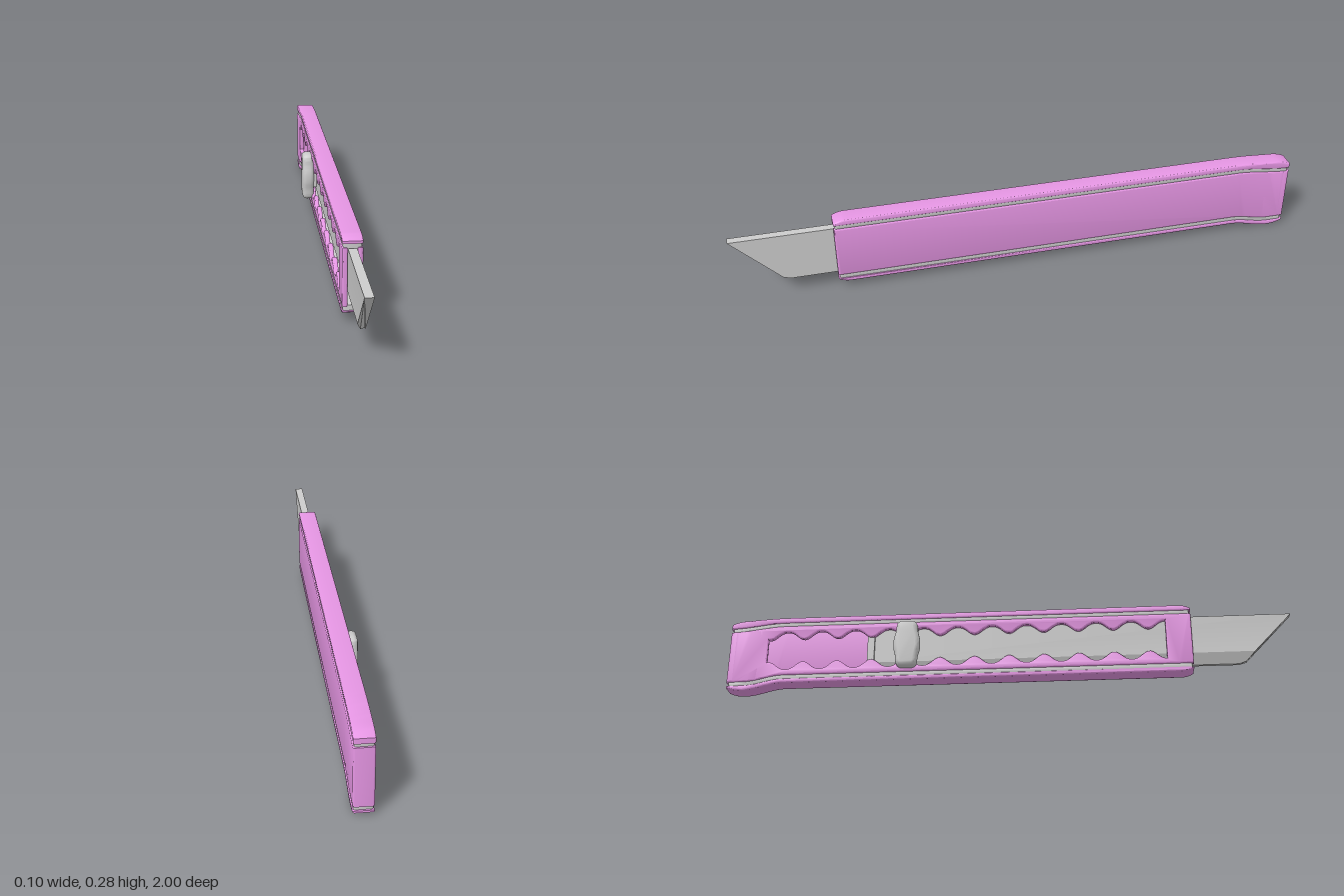
import * as THREE from 'three';
import { toCreasedNormals } from 'three/addons/utils/BufferGeometryUtils.js';

const PINK = 0xe696e4, GREY = 0xcccccc;
const FRONT = 0.65, BACK = -1;

const ramp = (z, from, to) => THREE.MathUtils.smoothstep((z - from) / (to - from), 0, 1);

// Heights along the handle: the rear end droops, the caps round off at both ends
const dropTop = z => -0.018 * ramp(z, -0.8, -1);
const dropLow = z => -0.022 * ramp(z, -0.8, -0.94);
const endRound = z => 0.012 * (Math.max(0, (z - 0.61) / 0.04) ** 2 + Math.max(0, (-0.95 - z) / 0.05) ** 2);
const level = (y, drop) => z => y + drop(z);
const capTop = z => 0.28 + dropTop(z) * 0.5 - endRound(z);
const capLow = z => 0.025 + dropLow(z) * 1.13 + endRound(z);

function addMesh(group, name, geometry, color) {
  const mesh = new THREE.Mesh(geometry, new THREE.MeshStandardMaterial({ color }));
  mesh.name = name;
  group.add(mesh);
  return mesh;
}

// Extrudes a side outline (z, y) across the thickness x0..x1 with rounded edges
function sideExtrude(shape, x0, x1, bevel) {
  const geo = new THREE.ExtrudeGeometry(shape, {
    depth: x1 - x0 - 2 * bevel, bevelEnabled: true, bevelThickness: bevel,
    bevelSize: bevel, bevelOffset: -bevel, bevelSegments: 3, curveSegments: 8,
  });
  geo.rotateY(-Math.PI / 2);
  geo.translate(x1 - bevel, 0, 0);
  return toCreasedNormals(geo, 0.7);
}

// Outline between a lower and an upper curve, finely stepped only near the ends
function bandShape(z0, z1, low, high) {
  const zs = [z0];
  for (let z = BACK + 0.015; z < -0.78; z += 0.015) if (z > z0 + 0.008 && z < z1 - 0.008) zs.push(z);
  for (let z = 0.6; z < FRONT; z += 0.01) if (z > z0 && z < z1 - 0.004) zs.push(z);
  zs.push(z1);
  const points = zs.map(z => new THREE.Vector2(z, low(z)));
  points.push(...zs.slice().reverse().map(z => new THREE.Vector2(z, high(z))));
  return new THREE.Shape(points);
}

// Long slot with a row of rounded detent teeth on both edges
function toothedSlot() {
  const z0 = -0.86, z1 = 0.56, period = 0.123, steps = 150;
  const half = z => 0.073 - 0.03 * (0.5 + 0.5 * Math.cos(2 * Math.PI * (z - 0.5) / period)) ** 1.3;
  const top = [], low = [];
  for (let i = 0; i <= steps; i++) {
    const z = z0 + (z1 - z0) * i / steps;
    top.push(new THREE.Vector2(z, 0.15 + half(z)));
    low.push(new THREE.Vector2(z, 0.15 - half(z)));
  }
  return new THREE.Path([...top, ...low.reverse()]);
}

// Blade: cross-section with one ground edge, its front end slanted to a point
function bladeGeometry() {
  const shape = new THREE.Shape([
    [0.03, 0.24], [0.002, 0.24], [0.002, 0.1], [0.0148, 0.068], [0.018, 0.06], [0.03, 0.06], [0.03, 0.068],
  ].map(p => new THREE.Vector2(...p)));
  const geo = new THREE.ExtrudeGeometry(shape, { depth: 1, bevelEnabled: false });
  const pos = geo.attributes.position;
  for (let i = 0; i < pos.count; i++) {
    const y = pos.getY(i);
    const tip = y < 0.064 ? 0.81 : 1 - (0.24 - y) * 0.96;
    pos.setZ(i, pos.getZ(i) > 0.5 ? tip : -0.49);
  }
  geo.computeVertexNormals();
  return toCreasedNormals(geo, 0.3);
}

// Thumb slider: tall rounded button, wider in the middle
function sliderShape() {
  const s = new THREE.Shape();
  s.moveTo(-0.375, 0.065);
  s.quadraticCurveTo(-0.392, 0.068, -0.393, 0.09);
  s.bezierCurveTo(-0.394, 0.12, -0.402, 0.12, -0.402, 0.152);
  s.bezierCurveTo(-0.402, 0.185, -0.394, 0.185, -0.393, 0.215);
  s.quadraticCurveTo(-0.392, 0.237, -0.375, 0.24);
  s.lineTo(-0.335, 0.24);
  s.quadraticCurveTo(-0.318, 0.237, -0.317, 0.215);
  s.bezierCurveTo(-0.316, 0.185, -0.308, 0.185, -0.308, 0.152);
  s.bezierCurveTo(-0.308, 0.12, -0.316, 0.12, -0.317, 0.09);
  s.quadraticCurveTo(-0.318, 0.068, -0.335, 0.065);
  s.closePath();
  return s;
}

function box(x0, x1, y0, y1, z0, z1) {
  const geo = new THREE.BoxGeometry(x1 - x0, y1 - y0, z1 - z0);
  return geo.translate((x0 + x1) / 2, (y0 + y1) / 2, (z0 + z1) / 2);
}

export function createModel() {
  const model = new THREE.Group();
  model.name = 'snapOffKnife';

  // Handle: two side plates joined by a block at the rear
  const handle = new THREE.Group();
  handle.name = 'handle';
  model.add(handle);
  const low = level(0.054, dropLow), high = level(0.247, dropTop);
  addMesh(handle, 'plainSidePlate', sideExtrude(bandShape(-0.985, FRONT, low, high), 0.031, 0.048, 0.006), PINK);
  const slotted = bandShape(-0.985, FRONT, low, high);
  slotted.holes.push(toothedSlot());
  addMesh(handle, 'slottedSidePlate', sideExtrude(slotted, -0.016, 0.001, 0.006), PINK);
  addMesh(handle, 'rearBlock', sideExtrude(bandShape(BACK, -0.88, low, high), -0.016, 0.048, 0.006), PINK);

  // Grey rails and rounded caps along the top and bottom
  const rails = [
    ['topRail', level(0.242, dropTop), level(0.265, dropTop)],
    ['bottomRail', level(0.035, dropLow), level(0.059, dropLow)],
  ];
  for (const [name, a, b] of rails)
    addMesh(handle, name, sideExtrude(bandShape(-0.994, 0.645, a, b), -0.013, 0.045, 0.006), GREY);
  addMesh(handle, 'topCap', sideExtrude(bandShape(BACK, FRONT, level(0.259, dropTop), capTop), -0.016, 0.048, 0.005), PINK);
  addMesh(handle, 'bottomCap', sideExtrude(bandShape(BACK, FRONT, capLow, level(0.041, dropLow)), -0.016, 0.048, 0.005), PINK);

  addMesh(model, 'blade', bladeGeometry(), GREY);

  // Slider with its carrier running in the slot
  const slider = new THREE.Group();
  slider.name = 'slider';
  model.add(slider);
  addMesh(slider, 'sliderButton', sideExtrude(sliderShape(), -0.05, -0.008, 0.014), GREY);
  addMesh(slider, 'sliderStem', box(-0.016, 0.004, 0.115, 0.185, -0.39, -0.32), GREY);
  addMesh(slider, 'carrierLip', box(-0.008, 0.004, 0.085, 0.215, -0.5, -0.475), GREY);

  return model;
}
